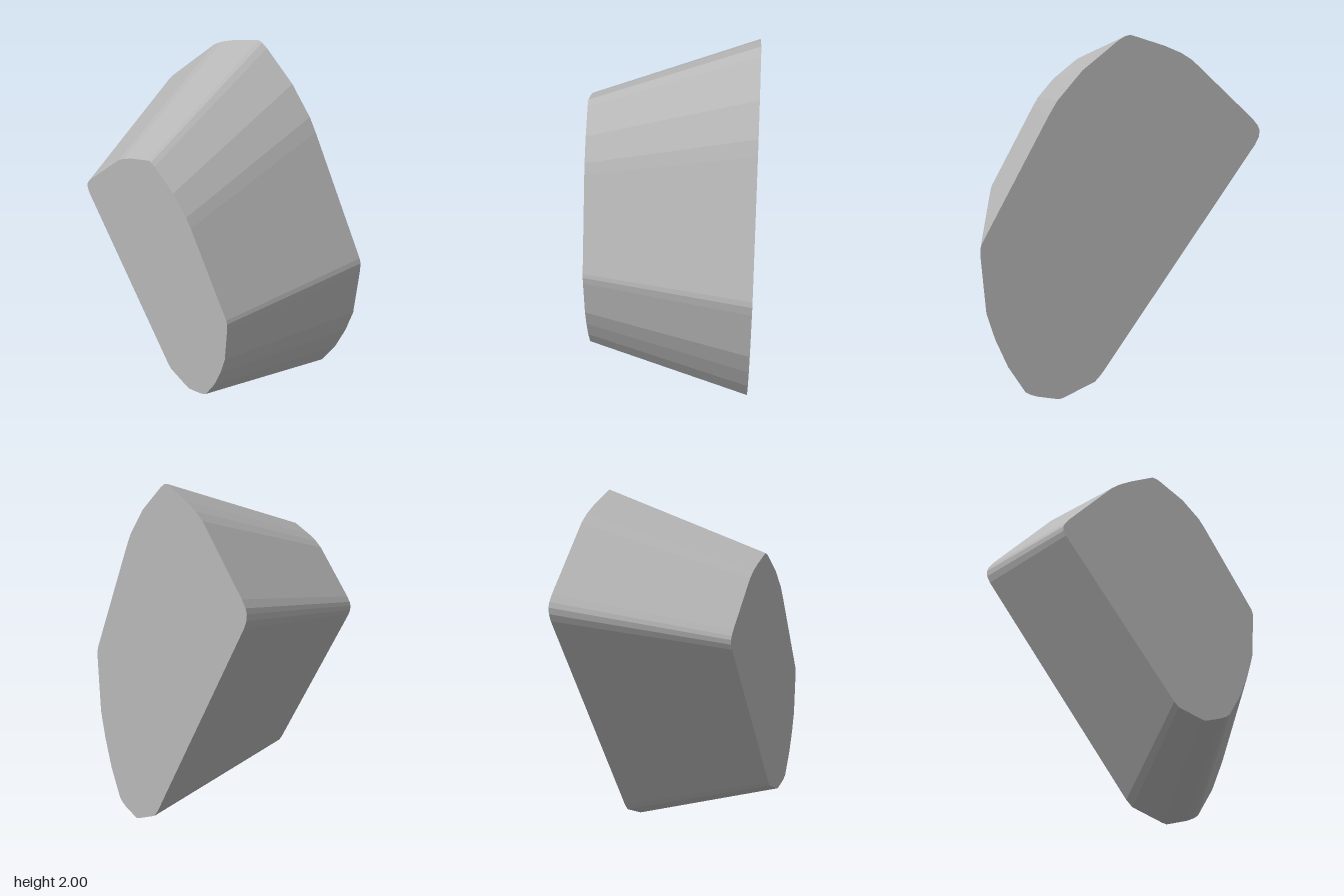
import * as THREE from 'three';

// Back outline, clockwise from the peak
const OUTLINE = [
  [-0.045, 2.0], [-0.02, 1.995], [0.015, 1.975], [0.2, 1.83], [0.33, 1.68], [0.375, 1.605],
  [0.732, 0.945], [0.742, 0.915], [0.742, 0.86], [0.722, 0.55], [0.68, 0.395], [0.615, 0.225],
  [0.525, 0.065], [0.5, 0.047], [0.46, 0.03], [0.34, 0.0], [0.315, 0.007], [0.14, 0.085],
  [0.105, 0.125], [-0.725, 1.385], [-0.743, 1.425], [-0.746, 1.46], [-0.735, 1.487],
  [-0.705, 1.525], [-0.37, 1.855], [-0.31, 1.895], [-0.22, 1.937],
];
const DEPTH = 0.894;
const TAPER = 0.7; // front face size relative to the back face

export function createModel() {
  const group = new THREE.Group();
  const grey = new THREE.MeshStandardMaterial({ color: 0xb8b8b8 });
  grey.name = 'stone grey';

  const shape = new THREE.Shape(OUTLINE.map(([x, y]) => new THREE.Vector2(x, y)));
  const geometry = new THREE.ExtrudeGeometry(shape, { depth: DEPTH, bevelEnabled: false });
  geometry.translate(0, 0, -DEPTH / 2);

  // Shrink the front cap so the sides slope inward
  const p = geometry.attributes.position;
  for (let i = 0; i < p.count; i++) {
    if (p.getZ(i) > 0) p.setXY(i, p.getX(i) * TAPER + 0.052, p.getY(i) * TAPER + 0.29);
  }
  geometry.computeVertexNormals();

  const body = new THREE.Mesh(geometry, grey);
  body.name = 'taperedBlock';
  group.add(body);
  return group;
}
